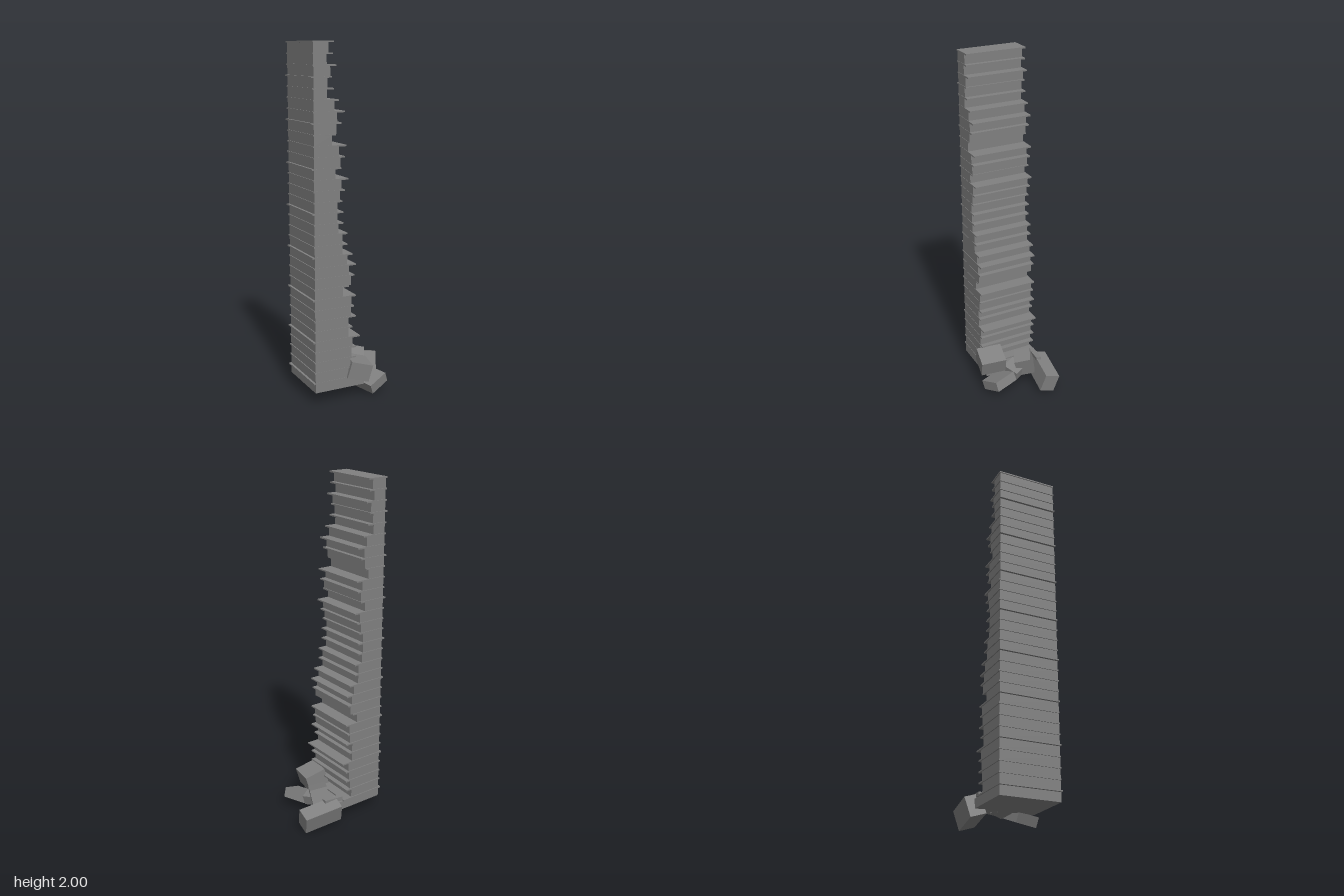
import * as THREE from 'three';

export function createModel() {
  const group = new THREE.Group();
  const concrete = new THREE.MeshStandardMaterial({ color: 0x808080 });
  concrete.name = 'concrete grey';

  function box(name, size, pos, rot = [0, 0, 0]) {
    const mesh = new THREE.Mesh(new THREE.BoxGeometry(...size), concrete);
    mesh.name = name;
    mesh.position.set(...pos);
    mesh.rotation.set(rot[0], rot[1], rot[2], 'YXZ');
    group.add(mesh);
    return mesh;
  }

  // Broken edge of each storey, top to bottom: [slab end x, wall end x]
  const storeys = [
    [-0.15, -0.18], [-0.155, -0.19], [-0.135, -0.17], [-0.16, -0.185],
    [-0.15, -0.19], [-0.12, -0.145], [-0.085, -0.13], [-0.105, -0.135],
    [-0.14, -0.16], [-0.075, -0.12], [-0.085, -0.11], [-0.105, -0.14],
    [-0.065, -0.105], [-0.085, -0.115], [-0.1, -0.13], [-0.095, -0.13],
    [-0.095, -0.125], [-0.07, -0.1], [-0.07, -0.1], [-0.037, -0.07],
    [-0.016, -0.058], [-0.027, -0.047], [-0.06, -0.095], [-0.016, -0.042],
    [-0.027, -0.047], [-0.016, -0.063], [-0.037, -0.063], [0.01, -0.037],
    [-0.016, -0.042], [-0.016, -0.05], [-0.02, -0.06], [0.0, 0.04],
  ];
  const base = 0.068, top = 2, step = (top - base) / storeys.length, slabT = 0.008;

  // Stacked storeys: wall block below, thin projecting floor slab above
  storeys.forEach(([slabEnd, wallEnd], i) => {
    const y = top - i * step;
    const wallH = step - slabT;
    const slabStart = i % 4 === 3 ? -0.28 : -0.272;
    box('floorSlab', [slabEnd - slabStart, slabT, 0.352],
      [(slabEnd + slabStart) / 2, y - slabT / 2, 0]);
    box('storeyWall', [wallEnd + 0.267, wallH, 0.344],
      [(wallEnd - 0.267) / 2, y - slabT - wallH / 2, 0.002]);
  });

  // Fallen blocks heaped against the broken side
  box('rubbleLong', [0.235, 0.112, 0.09], [0.153, 0.075, -0.151], [-0.29, -0.1, -0.11]);
  box('rubbleFront', [0.13, 0.1, 0.15], [0.012, 0.16, 0.132], [0.03, -0.17, -0.28]);
  box('rubbleMiddle', [0.105, 0.115, 0.1], [0.09, 0.135, -0.055], [0.25, -0.5, -0.2]);
  box('rubbleLow', [0.13, 0.058, 0.15], [0.105, 0.064, 0.122], [0.05, 0.32, 0.36]);
  box('rubbleSmall', [0.1, 0.06, 0.09], [0.085, 0.1, 0.01], [0.15, 0.45, -0.2]);
  box('rubbleSliver', [0.12, 0.025, 0.03], [0.06, 0.14, -0.145], [0, -0.08, 0.05]);

  return group;
}
